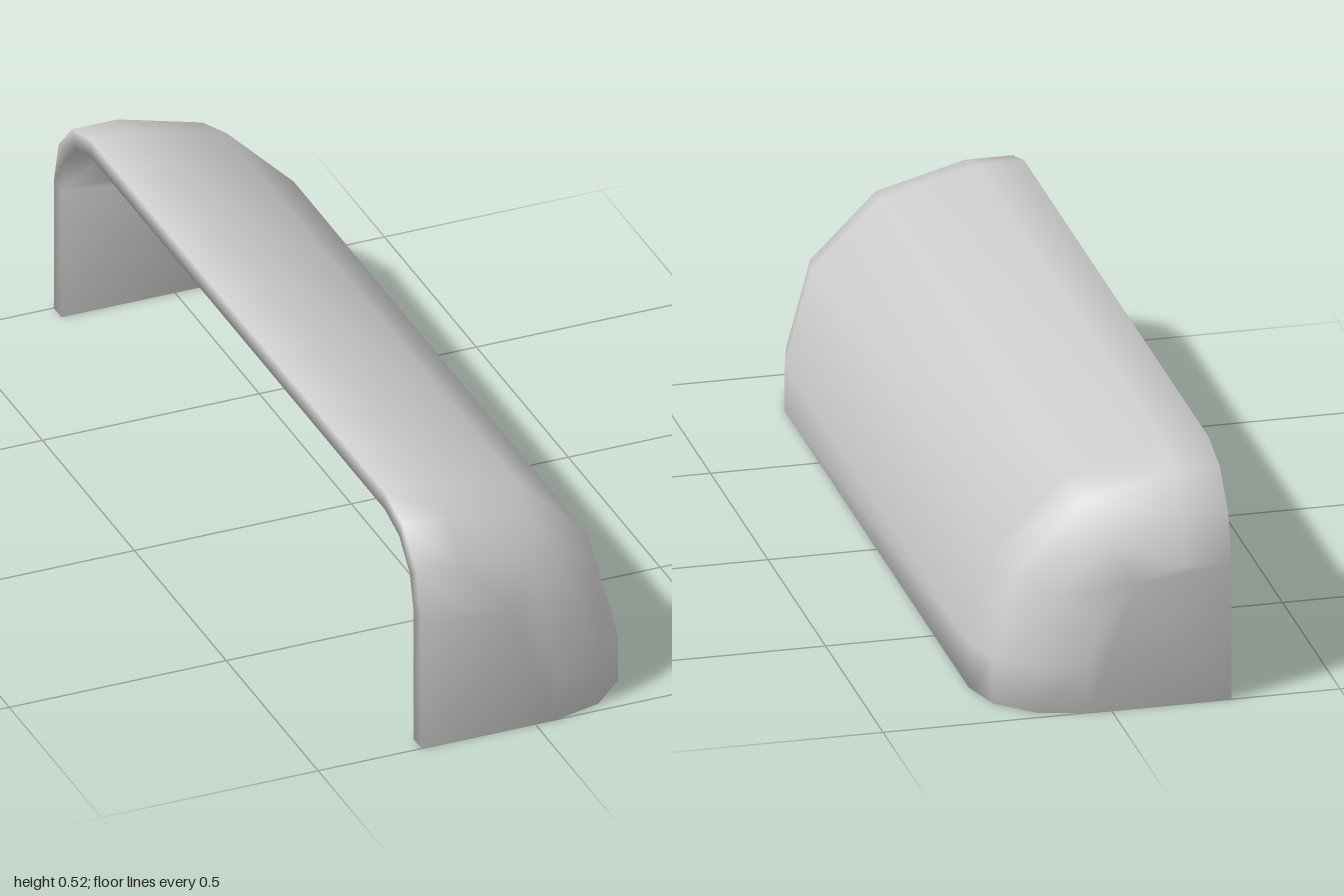
import * as THREE from 'three';
import { mergeVertices } from 'three/addons/utils/BufferGeometryUtils.js';

const BACK = -0.262, CX = -0.158, CY = 0.103; // open back edge and centre of the quarter-round profile
const PLATE = 0.21;                           // profile radius of the flat end plates
const BEND_R = 0.21, BEND_Z = 0.2;            // rounded end: radial and lengthwise radius
const STEPS = 3, WALL = 0.042;                // facets per bend, wall thickness

// Quarter-round cross-section, from the back edge over the top down to the bottom edge
function section(radius, z) {
  const pts = [new THREE.Vector3(BACK, CY + radius, z)];
  for (let k = 0; k <= STEPS; k++) {
    const a = (k / STEPS) * Math.PI / 2;
    pts.push(new THREE.Vector3(CX + radius * Math.sin(a), CY + radius * Math.cos(a), z));
  }
  pts.push(new THREE.Vector3(CX + radius, 0, z));
  return pts;
}

// Rows of sections from one end plate to the other
function skin(inset) {
  const half = [];
  for (let k = 0; k <= STEPS; k++) {
    const a = (k / STEPS) * Math.PI / 2;
    half.push(section(PLATE + (BEND_R - inset) * Math.cos(a), 1 - BEND_Z + (BEND_Z - inset) * Math.sin(a)));
  }
  // End plate: trim the curved edge to straight chords, then close to the back bottom corner
  const plate = half[STEPS], corner = new THREE.Vector3(BACK, 0, 1 - inset);
  half.push([0, 0, 2, 2, 2, 5].map(i => plate[i]), plate.map(() => corner));
  const mirrored = half.map(row => row.map(p => new THREE.Vector3(p.x, p.y, -p.z))).reverse();
  return [...mirrored, ...half];
}

function shellGeometry() {
  const out = [];
  const tri = (a, b, c) => {
    if (new THREE.Triangle(a, b, c).getArea() < 1e-7) return;
    for (const p of [a, b, c]) out.push(p.x, p.y, p.z);
  };
  const quad = (a, b, c, d) => { tri(a, b, c); tri(a, c, d); };

  const O = skin(0), I = skin(WALL), last = O[0].length - 1;
  for (let i = 0; i < O.length - 1; i++) {
    for (let j = 0; j < last; j++) {
      quad(O[i][j], O[i + 1][j], O[i + 1][j + 1], O[i][j + 1]); // outer skin
      quad(I[i][j], I[i][j + 1], I[i + 1][j + 1], I[i + 1][j]); // inner skin
    }
    quad(O[i][0], I[i][0], I[i + 1][0], O[i + 1][0]);             // back rim
    quad(O[i][last], O[i + 1][last], I[i + 1][last], I[i][last]); // bottom rim
  }
  // Weld the corners so the whole shell shades smoothly
  const soup = new THREE.BufferGeometry();
  soup.setAttribute('position', new THREE.Float32BufferAttribute(out, 3));
  const geo = mergeVertices(soup, 1e-4);
  geo.computeVertexNormals();
  return geo;
}

export function createModel() {
  const group = new THREE.Group();
  group.name = 'cupPull';
  const material = new THREE.MeshStandardMaterial({ color: 0xcccccc });
  const shell = new THREE.Mesh(shellGeometry(), material);
  shell.name = 'pullShell';
  group.add(shell);
  return group;
}
